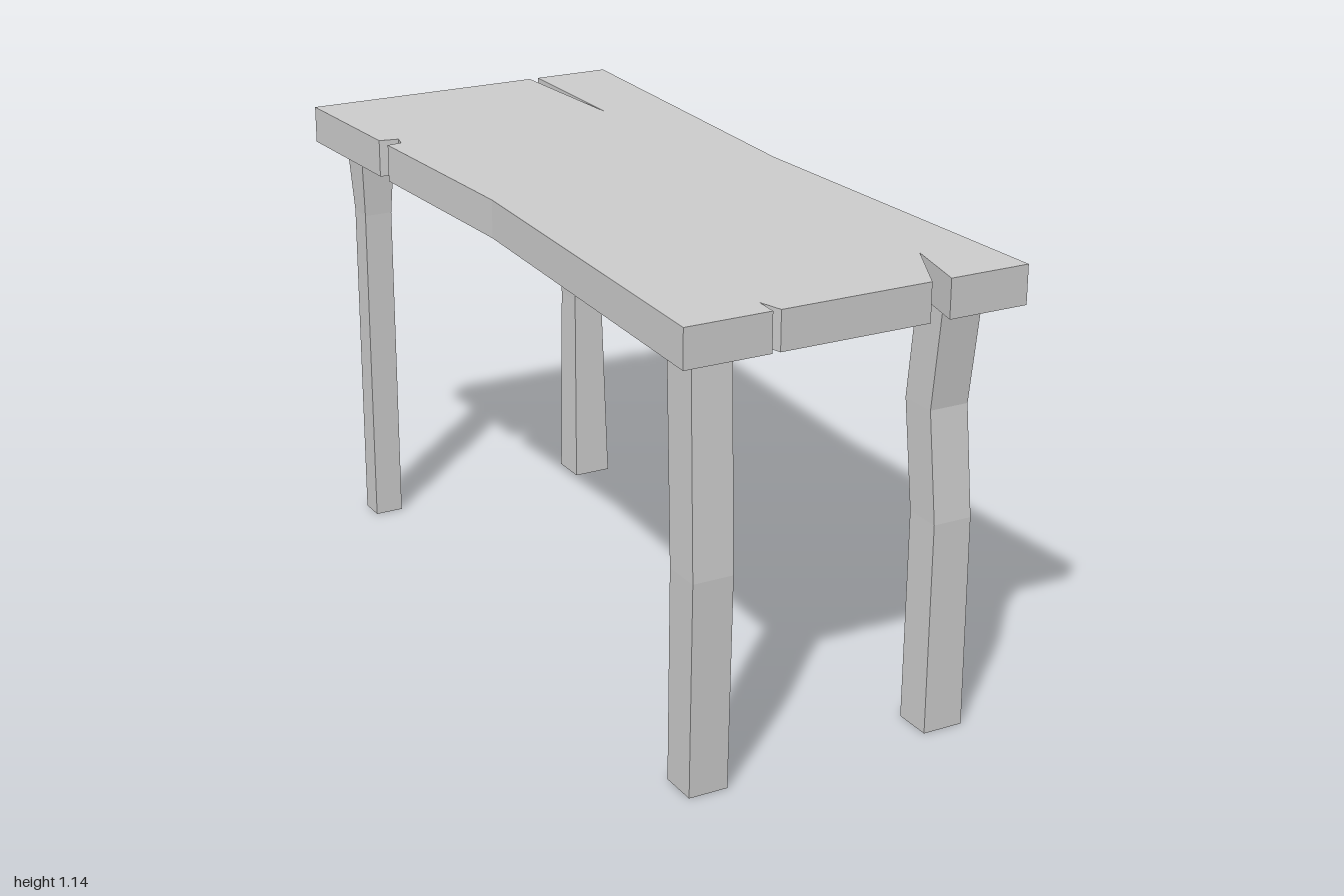
import * as THREE from 'three';

const material = new THREE.MeshStandardMaterial({ color: 0xcccccc, flatShading: true });
const TOP_Y = 1.145, UNDER_Y = 1.05;

// Loft a four-sided post through rings of [y, xMin, xMax, zMin, zMax], listed bottom to top
function postGeometry(rings) {
  const positions = [], index = [];
  for (const [y, x0, x1, z0, z1] of rings) {
    positions.push(x0, y, z1, x1, y, z1, x1, y, z0, x0, y, z0);
  }
  for (let r = 0; r < rings.length - 1; r++) {
    for (let i = 0; i < 4; i++) {
      const a = r * 4 + i, b = r * 4 + (i + 1) % 4;
      index.push(a, b, b + 4, a, b + 4, a + 4);
    }
  }
  const t = (rings.length - 1) * 4;
  index.push(0, 2, 1, 0, 3, 2, t, t + 1, t + 2, t, t + 2, t + 3);
  const indexed = new THREE.BufferGeometry();
  indexed.setAttribute('position', new THREE.Float32BufferAttribute(positions, 3));
  indexed.setIndex(index);
  const geometry = indexed.toNonIndexed();
  geometry.computeVertexNormals();
  return geometry;
}

// Waisted plank outline [x, z] with its splits and chipped edge
function tabletopGeometry() {
  const outline = [
    [-0.435, 1],
    [-0.22, 1], [-0.217, 0.94], [-0.2, 1],        // short front split
    [0.18, 1], [0.27, 0.82], [0.23, 1],           // wide front split
    [0.435, 1], [0.39, 0], [0.435, -1],
    [0.23, -1], [0.225, -0.58], [0.205, -1],      // long back split
    [-0.435, -1],
    [-0.417, -0.61], [-0.368, -0.6], [-0.376, -0.565], [-0.415, -0.56], // side chip
    [-0.39, 0],
  ];
  const shape = new THREE.Shape(outline.map(([x, z]) => new THREE.Vector2(x, -z)));
  const geometry = new THREE.ExtrudeGeometry(shape, { depth: TOP_Y - UNDER_Y, bevelEnabled: false });
  return geometry.rotateX(-Math.PI / 2).translate(0, UNDER_Y, 0);
}

// Each leg has its own crooked run of cross-sections
const legs = {
  frontLeftLeg: [
    [0, 0.256, 0.36, 0.838, 0.937],
    [0.53, 0.26, 0.36, 0.838, 0.935],
    [0.8, 0.257, 0.358, 0.806, 0.905],
    [UNDER_Y, 0.257, 0.362, 0.835, 0.935],
  ],
  frontRightLeg: [
    [0, -0.376, -0.277, 0.838, 0.937],
    [0.535, -0.382, -0.28, 0.855, 0.956],
    [UNDER_Y, -0.373, -0.272, 0.82, 0.925],
  ],
  backLeftLeg: [
    [0, 0.255, 0.358, -0.932, -0.834],
    [0.53, 0.262, 0.345, -0.93, -0.847],
    [UNDER_Y, 0.256, 0.36, -0.935, -0.834],
  ],
  backRightLeg: [
    [0, -0.363, -0.288, -0.922, -0.853],
    [0.87, -0.363, -0.288, -0.922, -0.853],
    [UNDER_Y, -0.372, -0.278, -0.94, -0.842],
  ],
};

export function createModel() {
  const model = new THREE.Group();
  model.name = 'table';
  const add = (name, geometry) => {
    const mesh = new THREE.Mesh(geometry, material);
    mesh.name = name;
    model.add(mesh);
  };
  add('tabletop', tabletopGeometry());
  for (const [name, rings] of Object.entries(legs)) add(name, postGeometry(rings));
  return model;
}
